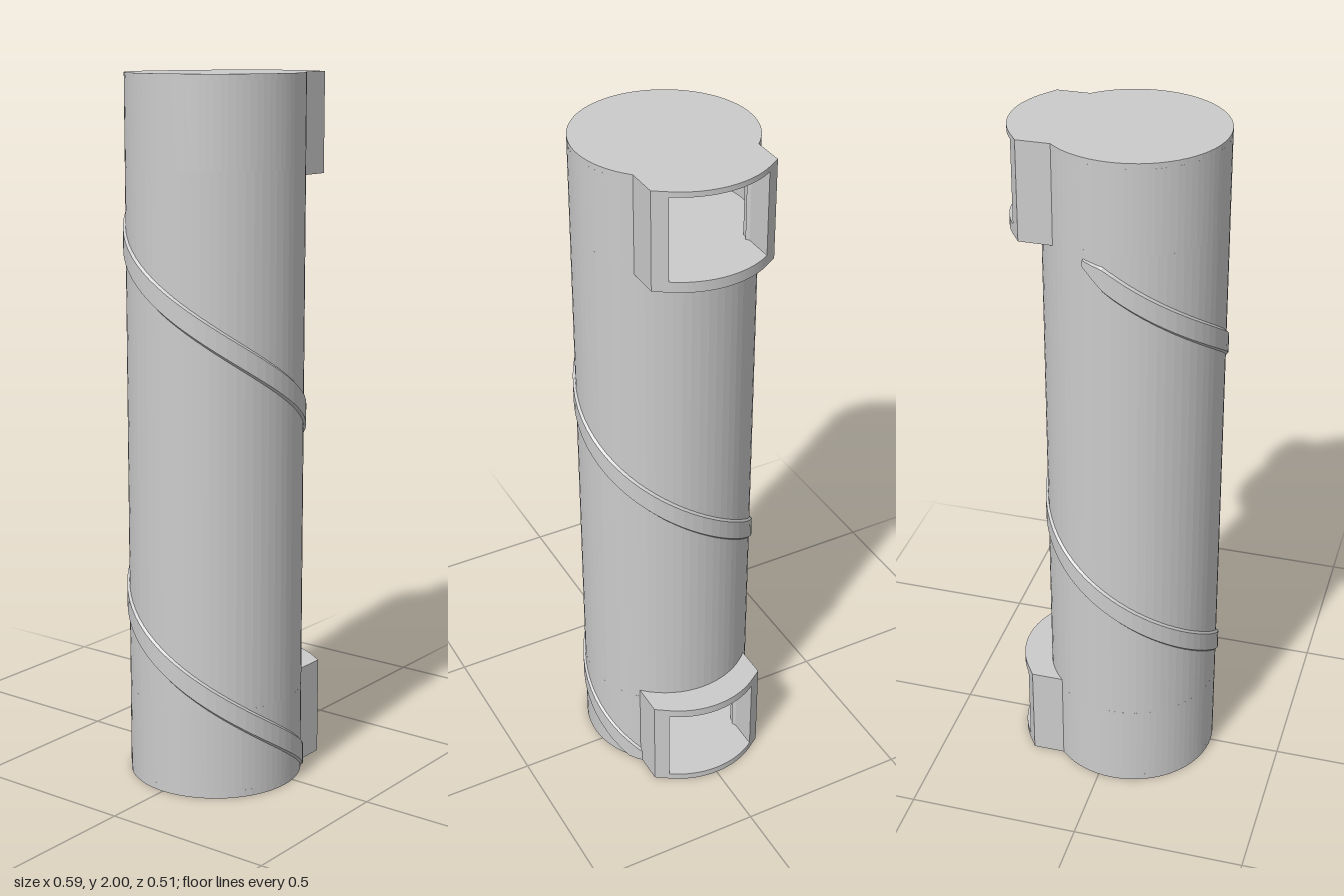
import * as THREE from 'three';

const CX = -0.042, R = 0.248;               // body axis and radius
const mat = new THREE.MeshStandardMaterial({ color: 0xcccccc, flatShading: true });

function add(parent, name, geometry, material = mat) {
  const mesh = new THREE.Mesh(geometry, material);
  mesh.name = name;
  parent.add(mesh);
  return mesh;
}

// Extrude a floor-plan outline (x, -z) between two heights
function slab(shape, y0, y1) {
  const g = new THREE.ExtrudeGeometry(shape, { depth: y1 - y0, bevelEnabled: false, curveSegments: 32 });
  return g.rotateX(-Math.PI / 2).translate(0, y0, 0);
}

const polygon = pts => new THREE.Shape(pts.map(p => new THREE.Vector2(p[0], p[1])));

function disc() {
  const s = new THREE.Shape();
  s.absarc(CX, 0, R, 0, Math.PI * 2, false);
  return s;
}

// Ring wall with a gap towards +x
function openWall() {
  const a = Math.asin(0.14 / R), r = R - 0.012;
  const s = new THREE.Shape();
  s.absarc(CX, 0, R, a, Math.PI * 2 - a, false);
  s.absarc(CX, 0, r, Math.PI * 2 - a, a, true);
  return s;
}

// Bracket plate: chamfered shoulders and a curved nose
function plateShape() {
  const a = Math.asin(0.14 / 0.25), cx = 0.043;
  const s = new THREE.Shape();
  s.moveTo(0.1, -0.177);
  s.lineTo(0.225, -0.177);
  s.lineTo(0.25, -0.14);
  s.absarc(cx, 0, 0.25, -a, a, false);
  s.lineTo(0.225, 0.177);
  s.lineTo(0.1, 0.177);
  return s;
}

// Window frame on the side of the body
function bracket(name, y0, y1, low, high) {
  const group = new THREE.Group();
  group.name = name;
  add(group, 'lowerPlate', slab(plateShape(), y0, low));
  add(group, 'upperPlate', slab(plateShape(), high, y1));
  const cheek = [[0.13, 0.14], [0.25, 0.14], [0.225, 0.177], [0.13, 0.177]];
  for (const side of [1, -1]) {
    const pts = cheek.map(([x, z]) => [x, z * side]);
    add(group, side > 0 ? 'rightCheek' : 'leftCheek', slab(polygon(pts), low, high));
  }
  return group;
}

// Raised band wound round the body, clipped at the base
function spiralBand() {
  const start = Math.PI / 2 - 0.3, end = Math.PI / 2 + Math.PI * 3.27;
  const steps = 96, pitch = 1.02, pos = [], index = [];
  for (let i = 0; i <= steps; i++) {
    const a = start + (end - start) * i / steps;
    const mid = 1.665 - pitch * (a - Math.PI / 2) / (Math.PI * 2);
    const taper = Math.min(1, i / 3 + 0.3);
    const section = [[R - 0.004, -0.04], [R + 0.007, -0.03], [R + 0.007, 0.03], [R - 0.004, 0.04]];
    for (const [r, dy] of section) {
      pos.push(CX + r * Math.cos(a), Math.max(0, mid + dy * taper), -r * Math.sin(a));
    }
  }
  for (let i = 0; i < steps; i++) {
    for (let j = 0; j < 3; j++) {
      const p = i * 4 + j, q = p + 4;
      index.push(p, q, p + 1, p + 1, q, q + 1);
    }
  }
  const g = new THREE.BufferGeometry();
  g.setAttribute('position', new THREE.Float32BufferAttribute(pos, 3));
  g.setIndex(index);
  g.computeVertexNormals();
  return g;
}

// Core post in the lower chamber, narrowing on its front side towards the base
function corePost() {
  const g = new THREE.CylinderGeometry(0.084, 0.084, 0.26, 24, 12);
  const p = g.attributes.position;
  for (let i = 0; i < p.count; i++) {
    const t = (0.13 - p.getY(i)) / 0.26;
    if (p.getZ(i) > 0) p.setZ(i, p.getZ(i) * (1 - 0.5 * t * t));
  }
  return g.translate(CX, 0.131, 0);
}

export function createModel() {
  const model = new THREE.Group();
  model.name = 'cylinderWithSpiral';

  // Body: solid middle, an open chamber at each end, closing discs
  const body = new THREE.Group();
  body.name = 'body';
  add(body, 'base', slab(disc(), 0, 0.02));
  add(body, 'lowerChamberWall', slab(openWall(), 0.02, 0.26));
  add(body, 'shaft', slab(disc(), 0.26, 1.75));
  add(body, 'upperChamberWall', slab(openWall(), 1.75, 1.985));
  add(body, 'topCap', slab(disc(), 1.985, 2));
  add(body, 'corePost', corePost());
  model.add(body);

  model.add(bracket('lowerBracket', 0, 0.285, 0.02, 0.26));
  model.add(bracket('upperBracket', 1.72, 2, 1.75, 1.985));

  const bandMat = mat.clone();
  bandMat.side = THREE.DoubleSide;
  add(model, 'spiralBand', spiralBand(), bandMat);
  return model;
}
